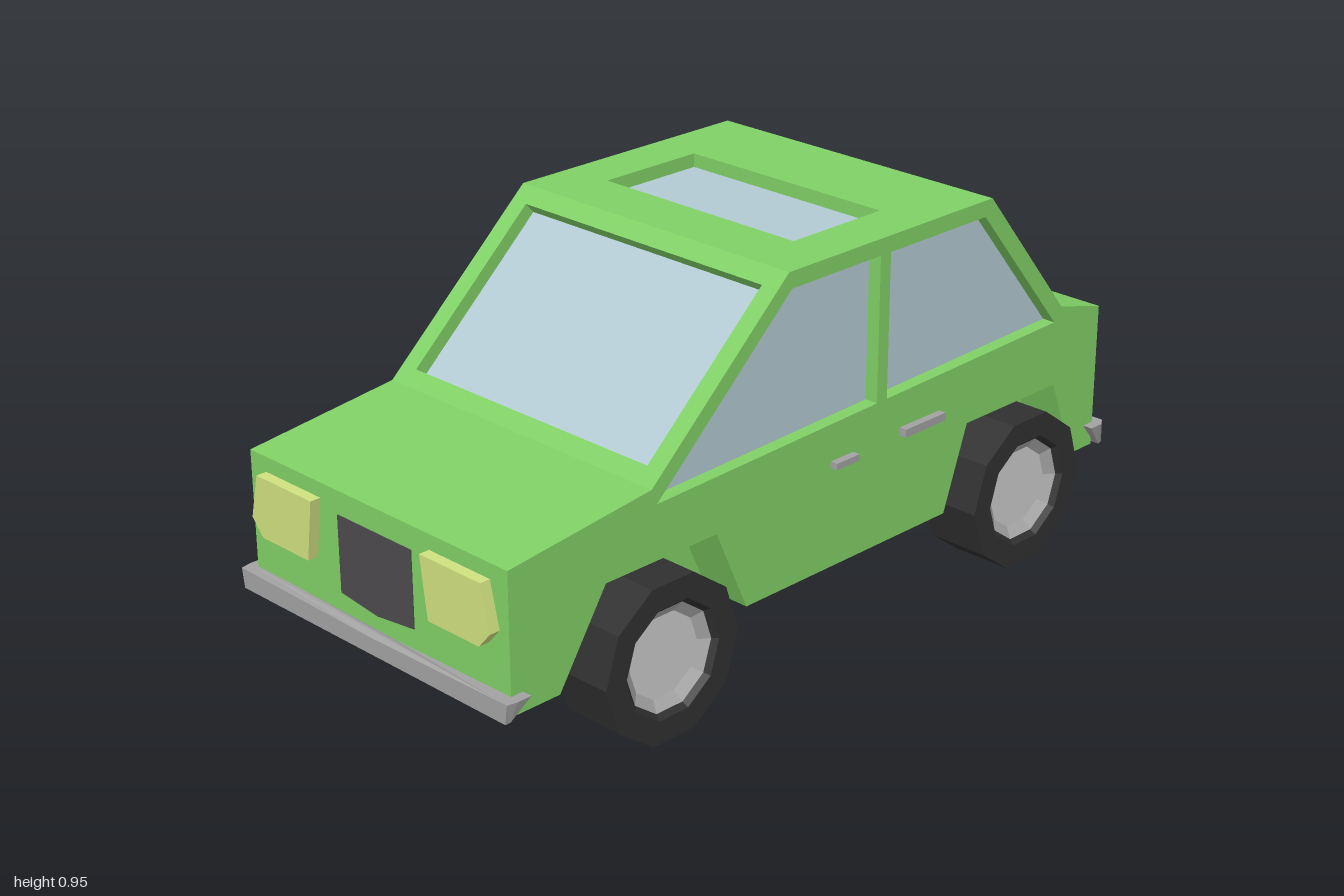
import * as THREE from 'three';

const HALF = 0.424;  // half width of the body
const T = 0.035;     // thickness of the body panels
const ARCH_IN = 0.3; // inner side of the wheel arches

const paint = (color) => new THREE.MeshStandardMaterial({ color, flatShading: true });
const V = (pts) => pts.map(([x, y]) => new THREE.Vector2(x, y));
const polygon = (pts) => new THREE.Shape(V(pts));

// Extrudes a (z, y) shape across the car from x0 to x1
function slab(shape, x0, x1) {
  const g = new THREE.ExtrudeGeometry(shape, { depth: x1 - x0, bevelEnabled: false });
  return g.rotateY(-Math.PI / 2).translate(x1, 0, 0);
}

// Extrudes an (x, y) shape along z from z0 to z1
function plate(shape, z0, z1) {
  return new THREE.ExtrudeGeometry(shape, { depth: z1 - z0, bevelEnabled: false }).translate(0, 0, z0);
}

export function createModel() {
  const car = new THREE.Group();
  car.name = 'car';
  const green = paint(0x80d066), glass = paint(0xb3cad2), chrome = paint(0xa2a2a2);
  const black = paint(0x303030), rimGrey = paint(0xaaaaaa), hubGrey = paint(0xc4c4c4);
  const yellow = paint(0xcfe07f), red = paint(0x960808), grilleGrey = paint(0x4c4a4c);
  glass.side = THREE.DoubleSide;

  const add = (name, geometry, material, parent = car) => {
    const m = new THREE.Mesh(geometry, material);
    m.name = name;
    parent.add(m);
  };
  // Adds a slab on both sides of the car
  const addPair = (name, shape, x0, x1, material) => {
    add(name + 'Left', slab(shape, x0, x1), material);
    add(name + 'Right', slab(shape, -x1, -x0), material);
  };

  // Side outline (z, y) from front bottom over the roof to rear bottom
  const top = [[0.97, 0.2], [0.97, 0.535], [0.565, 0.58], [0.15, 0.955],
    [-0.535, 0.955], [-0.82, 0.61], [-0.972, 0.57], [-0.972, 0.2]];
  // Wheel arches, rear to front
  const arches = [
    [[-0.885, 0.2], [-0.805, 0.41], [-0.475, 0.41], [-0.4, 0.2]],
    [[0.275, 0.2], [0.37, 0.41], [0.7, 0.41], [0.835, 0.2]],
  ];
  const windows = [
    [[0.55, 0.542], [0.14, 0.915], [-0.148, 0.915], [-0.148, 0.56]],
    [[-0.182, 0.561], [-0.182, 0.915], [-0.512, 0.915], [-0.795, 0.576]],
  ];

  // Side panels with window openings, and the side glass
  const side = polygon([...top, ...arches.flat()]);
  side.holes = windows.map((w) => new THREE.Path(V(w)));
  addPair('sidePanel', side, HALF - T, HALF, green);
  windows.forEach((w, i) =>
    addPair(i ? 'rearSideWindow' : 'frontSideWindow', polygon(w), HALF - T - 0.004, HALF - T + 0.001, glass));

  // Panels across the car, some with an opening [half width, start, end]
  const across = [
    ['frontPanel'], ['hood'], ['windshield', [0.377, 0.045, 0.512]], ['roof', [0.297, 0.15, 0.438]],
    ['rearWindow', [0.38, 0.055, 0.4]], ['trunkLid'], ['rearPanel'],
  ];
  const rect = (w, a, b) => [[-w, a], [w, a], [w, b], [-w, b]];
  across.forEach(([name, hole], i) => {
    const [z0, y0] = top[i], [z1, y1] = top[i + 1];
    const len = Math.hypot(z1 - z0, y1 - y0);
    const dz = (z1 - z0) / len, dy = (y1 - y0) / len;
    const place = new THREE.Matrix4().makeBasis(
      new THREE.Vector3(1, 0, 0), new THREE.Vector3(0, dy, dz), new THREE.Vector3(0, -dz, dy),
    ).setPosition(0, y0, z0);
    const shape = polygon(rect(HALF - T, 0, len));
    if (hole) {
      shape.holes.push(new THREE.Path(V(rect(...hole))));
      const pane = new THREE.ShapeGeometry(polygon(rect(...hole))).translate(0, 0, -T + 0.001);
      add(name + 'Glass', pane.applyMatrix4(place), glass);
    }
    add(name + 'Frame', plate(shape, -T, 0).applyMatrix4(place), green);
  });

  // Raised floor, cut out around the arches
  const floorY = 0.235, k = (floorY - 0.2) / 0.21;
  const mix = (a, b) => [a[0] + (b[0] - a[0]) * k, floorY];
  const cut = arches.flatMap(([a, b, c, d]) => [mix(a, b), b, c, mix(d, c)]);
  addPair('floorEdge', polygon([[0.94, floorY], [0.94, 0.5], [-0.94, 0.5], [-0.94, floorY], ...cut]),
    ARCH_IN, HALF - T, green);
  add('floor', new THREE.BoxGeometry(ARCH_IN * 2, 0.5 - floorY, 1.88)
    .translate(0, (0.5 + floorY) / 2, 0), green);

  // Wheel arch liners: a thin bent band and an inner wall
  const o = 0.005;
  arches.forEach(([a, b, c, d]) => {
    const outer = [[d[0] + o, 0.2], [c[0] + o, c[1] + o], [b[0] - o, b[1] + o], [a[0] - o, 0.2]];
    addPair('archLiner', polygon([a, b, c, d, ...outer]), ARCH_IN, HALF - T, green);
    addPair('archInnerWall', polygon([a, b, c, d]), ARCH_IN - 0.004, ARCH_IN + 0.001, green);
  });

  // Ten-sided wheels with a dished rim and hub
  const lathe = (pts) => new THREE.LatheGeometry(V(pts), 10);
  for (const s of [1, -1]) {
    for (const [end, z] of [['front', 0.55], ['rear', -0.657]]) {
      const wheel = new THREE.Group();
      wheel.name = end + (s > 0 ? 'LeftWheel' : 'RightWheel');
      add('tire', lathe([[0, -0.079], [0.199, -0.079], [0.199, 0.079], [0.14, 0.079], [0.125, 0.062]]), black, wheel);
      add('rim', lathe([[0.128, 0.066], [0.102, 0.048]]), rimGrey, wheel);
      add('hub', lathe([[0.104, 0.048], [0, 0.048]]), hubGrey, wheel);
      wheel.rotation.z = -s * Math.PI / 2;
      wheel.position.set(s * 0.393, 0.19, z);
      car.add(wheel);
    }
  }

  // Wrap-around bumpers, drawn in plan: ends taper to a point, the middle dips
  const bumper = (name, half, height, turn) => {
    const right = [[half, 1], [0.45, 0.975], [0.45, 0.937], [0.42, 0.937], [0.42, 0.965]];
    const left = right.map(([x, z]) => [-x, z]).reverse();
    const g = plate(polygon([[0, 1], ...right, [0, 0.965], ...left]), 0, height);
    g.rotateX(Math.PI / 2).translate(0, height, 0);
    const p = g.attributes.position;
    for (let i = 0; i < p.count; i++) {
      const x = p.getX(i);
      if (p.getY(i) > 0.001) {
        if (Math.abs(x) < 0.001) p.setY(i, height - 0.007);
      } else if (Math.abs(x) > 0.41) {
        p.setX(i, Math.sign(x) * Math.min(Math.abs(x), 0.438));
        if (p.getZ(i) < 0.98 && p.getZ(i) !== 0.965) p.setZ(i, Math.max(p.getZ(i), 0.985));
      }
    }
    add(name, g.rotateY(turn).translate(0, 0.2, 0), chrome);
  };
  bumper('frontBumper', 0.445, 0.048, 0);
  bumper('rearBumper', 0.435, 0.06, Math.PI);

  // Grille
  add('grille', plate(polygon([[-0.122, 0.478], [-0.122, 0.292], [0, 0.278], [0.122, 0.292], [0.122, 0.478]]),
    0.96, 0.972), grilleGrey);

  // Lamps and door handles on both sides
  const lamp = [[0.18, 0.498], [0.37, 0.498], [0.395, 0.39], [0.36, 0.35], [0.2, 0.35]];
  for (const s of [1, -1]) {
    const tag = s > 0 ? 'Left' : 'Right';
    add('headlight' + tag, plate(polygon(lamp.map(([x, y]) => [s * x, y])), 0.96, 0.997), yellow);
    add('taillight' + tag, new THREE.BoxGeometry(0.19, 0.07, 0.03).translate(s * 0.285, 0.487, -0.97), red);
    add('frontHandle' + tag, new THREE.BoxGeometry(0.035, 0.016, 0.075).translate(s * 0.426, 0.457, -0.033), chrome);
    add('rearHandle' + tag, new THREE.BoxGeometry(0.035, 0.02, 0.14).translate(s * 0.426, 0.465, -0.3), chrome);
  }
  return car;
}
